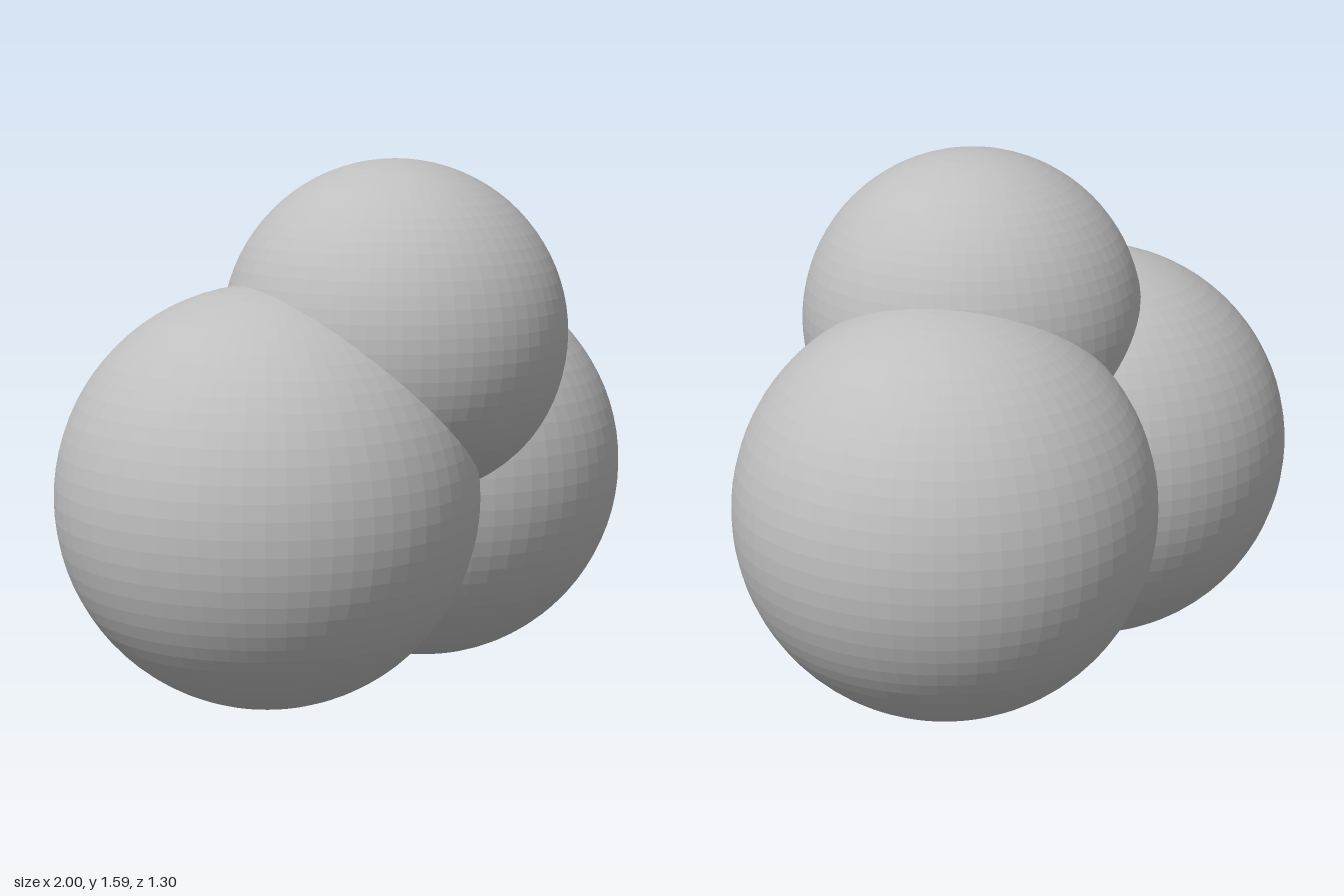
import * as THREE from 'three';

export function createModel() {
  const model = new THREE.Group();
  model.name = 'threeAtomCluster';

  const grey = new THREE.MeshStandardMaterial({ color: 0xbfbfbf, flatShading: true });
  grey.name = 'grey';

  function addSphere(name, radius, x, y, z) {
    const mesh = new THREE.Mesh(new THREE.SphereGeometry(radius, 64, 40), grey);
    mesh.name = name;
    mesh.position.set(x, y, z);
    model.add(mesh);
  }

  // Two large overlapping spheres side by side
  for (const side of [1, -1]) {
    addSphere(side > 0 ? 'leftSphere' : 'rightSphere', 0.618, side * 0.382, 0.618, -0.034);
  }

  // Smaller sphere nested above and slightly forward
  addSphere('topSphere', 0.512, 0, 1.074, 0.14);

  return model;
}
